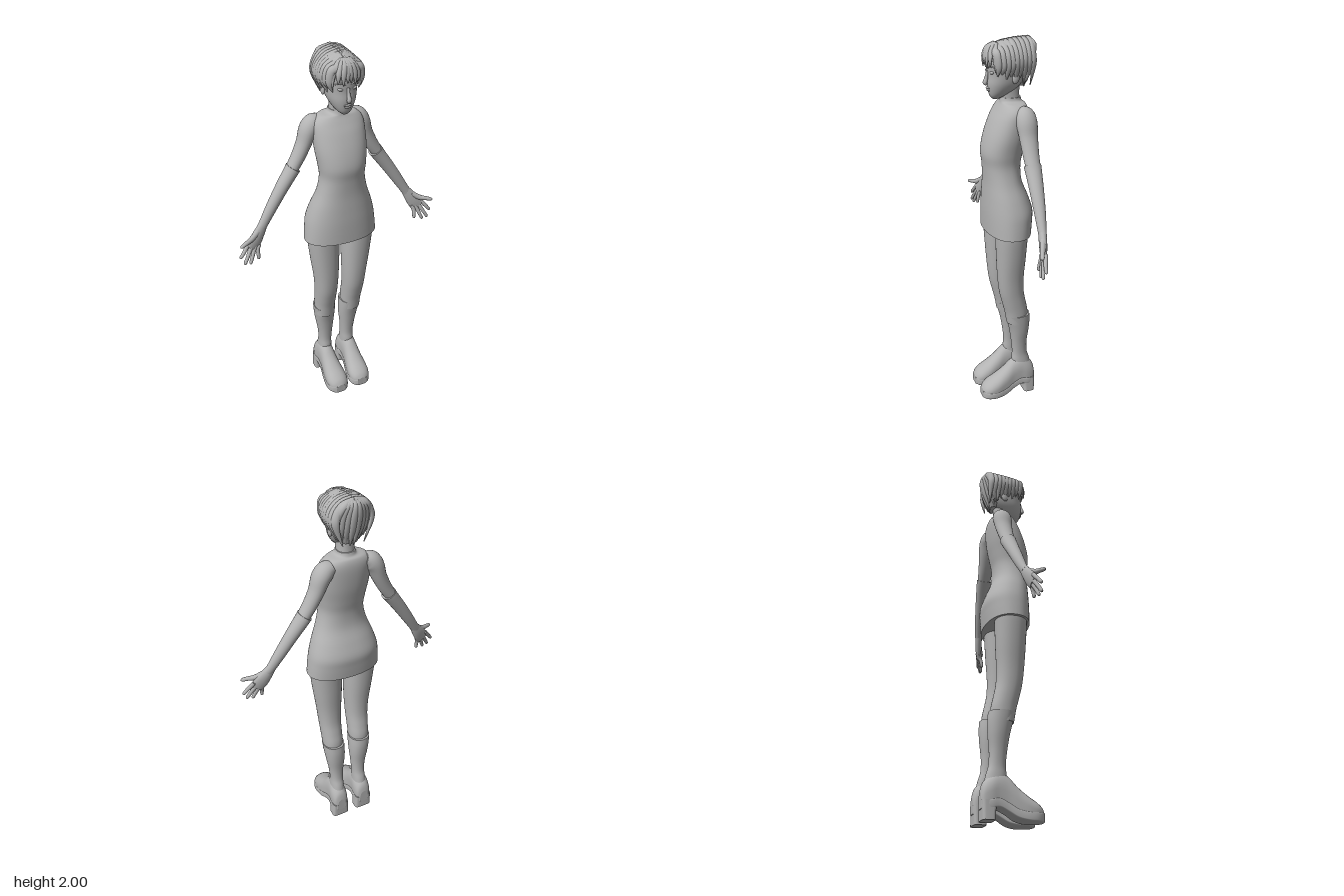
import * as THREE from 'three';

const grey = new THREE.MeshStandardMaterial({ color: 0xb3b3b3 });
grey.name = 'plain grey';
const V = (x, y, z) => new THREE.Vector3(x, y, z);
const spow = (v, e) => Math.sign(v) * Math.pow(Math.abs(v), e);

// Catmull-Rom resampling of a table of number rows
function smooth(rows, steps) {
  const out = [], last = rows.length - 1;
  for (let k = 0; k <= last * steps; k++) {
    const i = Math.min(Math.floor(k / steps), last - 1), t = k / steps - i;
    const [a, b, c, d] = [i - 1, i, i + 1, i + 2].map(j => rows[Math.min(Math.max(j, 0), last)]);
    out.push(b.map((v, q) => v + 0.5 * t * (c[q] - a[q] + t * (2 * a[q] - 5 * v + 4 * c[q] - d[q]
      + t * (3 * (v - c[q]) + d[q] - a[q])))));
  }
  return out;
}

// Closed smooth skin over a list of point rings, always facing outward
function skin(rings) {
  const n = rings[0].length, pts = rings.flat(), idx = [];
  for (let i = 0; i < rings.length - 1; i++) for (let j = 0; j < n; j++) {
    const a = i * n + j, b = i * n + (j + 1) % n;
    idx.push(a, a + n, b, b, a + n, b + n);
  }
  for (const [r, end] of [[0, false], [rings.length - 1, true]]) {
    const base = pts.length, mid = V(0, 0, 0);
    rings[r].forEach(p => mid.addScaledVector(p, 1 / n));
    pts.push(...rings[r], mid);
    for (let j = 0; j < n; j++) {
      const a = base + j, b = base + (j + 1) % n;
      idx.push(base + n, end ? b : a, end ? a : b);
    }
  }
  let volume = 0;
  const c = rings[0][0], s = (i) => pts[idx[i]].clone().sub(c);
  for (let i = 0; i < idx.length; i += 3) volume += s(i).dot(s(i + 1).cross(s(i + 2)));
  if (volume < 0) idx.reverse();
  const g = new THREE.BufferGeometry().setFromPoints(pts);
  g.setIndex(idx);
  g.computeVertexNormals();
  return g;
}

// Level rings; rows are [y, centre x, half width, front z, back z]
function stack(rows, side = 1, power = 2.2, n = 32, steps = 5) {
  return skin(smooth(rows, steps).map(([y, cx, w, f, b]) => Array.from({ length: n }, (_, j) => {
    const a = j / n * Math.PI * 2;
    return V(side * (cx + w * spow(Math.cos(a), 2 / power)), y,
      (f + b) / 2 + (f - b) / 2 * spow(Math.sin(a), 2 / power));
  })));
}

// Rings square to a path; rows are [x, y, z, half width, half thickness]
function limb(rows, side = 1, depthAt = () => V(0, 0, 1), n = 16, steps = 4) {
  const r = smooth(rows, steps), P = r.map(q => V(q[0], q[1], q[2]));
  return skin(r.map((q, i) => {
    const T = P[Math.min(i + 1, P.length - 1)].clone().sub(P[Math.max(i - 1, 0)]).normalize();
    const D = depthAt(P[i]);
    D.addScaledVector(T, -D.dot(T)).normalize();
    const S = T.clone().cross(D);
    return Array.from({ length: n }, (_, j) => {
      const a = j / n * Math.PI * 2;
      const p = P[i].clone().addScaledVector(S, q[3] * Math.cos(a)).addScaledVector(D, q[4] * Math.sin(a));
      p.x *= side;
      return p;
    });
  }));
}

export function createModel() {
  const model = new THREE.Group();
  const add = (name, geometry, parent = model) => {
    const m = new THREE.Mesh(geometry, grey);
    m.name = name;
    parent.add(m);
    return m;
  };
  const ball = (name, x, y, z, sx, sy, sz, parent) => {
    const m = add(name, new THREE.SphereGeometry(1, 20, 14), parent);
    m.position.set(x, y, z);
    m.scale.set(sx, sy, sz);
    return m;
  };

  // Sleeveless dress with a collar
  add('dress', stack([
    [1.012, 0, 0.199, 0.112, -0.12], [1.08, 0, 0.193, 0.113, -0.127], [1.14, 0, 0.184, 0.113, -0.13],
    [1.21, 0, 0.163, 0.111, -0.108], [1.29, 0, 0.133, 0.109, -0.078], [1.37, 0, 0.116, 0.113, -0.073],
    [1.44, 0, 0.122, 0.12, -0.085], [1.52, 0, 0.132, 0.103, -0.1], [1.6, 0, 0.134, 0.072, -0.108],
    [1.65, 0, 0.128, 0.045, -0.108], [1.68, 0, 0.1, 0.028, -0.1], [1.692, 0, 0.055, 0.024, -0.086],
    [1.71, 0, 0.046, 0.02, -0.08]], 1, 2.25, 48));

  // Neck and head
  add('neck', stack([[1.66, 0, 0.045, 0.015, -0.08], [1.72, 0, 0.042, 0.022, -0.074],
    [1.8, 0, 0.045, 0.035, -0.075]]));
  const head = new THREE.Group();
  head.name = 'head';
  model.add(head);
  add('face', stack([
    [1.706, 0, 0.014, 0.062, 0.03], [1.72, 0, 0.032, 0.075, 0.0], [1.745, 0, 0.051, 0.083, -0.045],
    [1.78, 0, 0.067, 0.088, -0.085], [1.82, 0, 0.076, 0.087, -0.11], [1.86, 0, 0.081, 0.09, -0.12],
    [1.9, 0, 0.083, 0.09, -0.12], [1.94, 0, 0.074, 0.074, -0.11], [1.97, 0, 0.045, 0.04, -0.09]], 1, 2.3), head);
  add('nose', limb([[0, 1.845, 0.086, 0.007, 0.006], [0, 1.81, 0.093, 0.008, 0.009],
    [0, 1.787, 0.1, 0.013, 0.011], [0, 1.777, 0.092, 0.009, 0.006]]), head);
  ball('upperLip', 0, 1.76, 0.086, 0.021, 0.005, 0.008, head);
  ball('lowerLip', 0, 1.75, 0.084, 0.017, 0.006, 0.008, head);
  for (const s of [1, -1]) {
    ball('eye', s * 0.034, 1.838, 0.077, 0.016, 0.008, 0.009, head).rotation.z = s * 0.12;
    add('eyebrow', limb([[0.014, 1.858, 0.089, 0.002, 0.003], [0.036, 1.868, 0.085, 0.004, 0.004],
      [0.058, 1.862, 0.068, 0.002, 0.003]], s), head);
    ball('ear', s * 0.077, 1.815, -0.03, 0.01, 0.03, 0.018, head).rotation.x = -0.2;
  }

  // Hair: an inner cap covered by overlapping locks
  const hair = new THREE.Group();
  hair.name = 'hair';
  model.add(hair);
  add('hairCap', stack([
    [1.765, 0, 0.035, -0.055, -0.098], [1.83, 0, 0.08, 0.0, -0.122], [1.88, 0, 0.095, 0.06, -0.135],
    [1.93, 0, 0.092, 0.085, -0.142], [1.965, 0, 0.07, 0.06, -0.138], [1.983, 0, 0.035, 0.02, -0.11]]), hair);
  const outward = p => p.clone().sub(V(0, 1.87, -0.03));
  const lock = (name, rows, s) => add(name, limb(rows, s, outward, 12), hair);
  for (const s of [1, -1]) {
    // Side locks fall from the centre crest
    for (let i = 0; i < 9; i++) {
      const t = i / 8, z = 0.07 - 0.19 * t;
      const top = 1.985 - 0.03 * Math.pow(1 - t, 3), w = 0.086 + 0.05 * t * (1.15 - t);
      const tipY = 1.825 - 0.055 * t + (i % 2) * 0.015;
      lock('sideLock', [
        [-0.008, top, z, 0.014, 0.012], [0.05, top - 0.016, z * 0.98, 0.019, 0.013],
        [w - 0.01, 1.925, z * 0.94, 0.02, 0.013], [w - 0.004, 1.87, z * 0.92 - 0.004, 0.018, 0.011],
        [w - 0.02 * (1 + t), tipY, z * 0.9 - 0.004, 0.003, 0.002]], s);
    }
    // Fringe over the forehead
    [[0.008, 1.872, 0.1], [0.03, 1.86, 0.099], [0.052, 1.868, 0.09], [0.073, 1.845, 0.072]].forEach(([x, y, z]) =>
      lock('fringeLock', [[x * 0.25, 1.968, 0.05, 0.011, 0.01], [x * 0.6, 1.95, z * 0.86, 0.014, 0.01],
        [x * 0.95, 1.91, z, 0.013, 0.008], [x, y, z, 0.002, 0.002]], s));
    // Back locks down to the nape
    [0.012, 0.036, 0.058, 0.078].forEach((x, i) =>
      lock('backLock', [[x * 0.2, 1.982, -0.115, 0.013, 0.012], [x * 0.7, 1.965, -0.142 + x * 0.2, 0.016, 0.012],
        [x, 1.915, -0.147 + x * 0.45, 0.018, 0.012], [x, 1.84, -0.13 + x * 0.45, 0.015, 0.011],
        [x * 0.75, 1.755 + i * 0.009, -0.1 + x * 0.3, 0.003, 0.002]], s));
  }

  for (const s of [1, -1]) {
    // Arm with long glove
    const arm = new THREE.Group();
    arm.name = s > 0 ? 'leftArm' : 'rightArm';
    model.add(arm);
    add('upperArm', limb([[0.085, 1.652, -0.062, 0.03, 0.035], [0.115, 1.638, -0.062, 0.046, 0.048],
      [0.142, 1.605, -0.062, 0.046, 0.052], [0.167, 1.54, -0.062, 0.038, 0.046],
      [0.205, 1.465, -0.06, 0.034, 0.04], [0.25, 1.395, -0.058, 0.03, 0.036]], s, undefined, 24), arm);
    add('glove', limb([[0.229, 1.421, -0.058, 0.038, 0.043], [0.247, 1.395, -0.057, 0.036, 0.041],
      [0.3, 1.32, -0.052, 0.033, 0.035], [0.36, 1.23, -0.045, 0.029, 0.028],
      [0.405, 1.16, -0.038, 0.025, 0.021], [0.425, 1.13, -0.034, 0.026, 0.018]], s, undefined, 24), arm);
    // Hand with the palm forward
    const palmDepth = () => V(-0.25, 0.1, 1);
    add('palm', limb([[0.408, 1.155, -0.037, 0.023, 0.018], [0.437, 1.112, -0.03, 0.032, 0.019],
      [0.464, 1.073, -0.022, 0.038, 0.016], [0.487, 1.04, -0.015, 0.034, 0.01]], s, palmDepth), arm);
    [[0.512, 1.058, 0.556, 1.006, 0.001], [0.493, 1.043, 0.538, 0.968, 0.008],
      [0.475, 1.033, 0.507, 0.962, 0.006], [0.457, 1.03, 0.458, 0.974, -0.002]].forEach(([x, y, tx, ty, tz]) =>
      add('finger', limb([[x - 0.014, y + 0.02, -0.02, 0.01, 0.01], [x, y, -0.013, 0.011, 0.0105],
        [(x + tx) / 2, (y + ty) / 2, (tz - 0.009) / 2, 0.0095, 0.0095],
        [x + (tx - x) * 0.9, y + (ty - y) * 0.9, tz - 0.001, 0.008, 0.008],
        [tx, ty, tz, 0.002, 0.002]], s), arm));
    add('thumb', limb([[0.445, 1.125, -0.025, 0.014, 0.014], [0.485, 1.1, -0.008, 0.014, 0.013],
      [0.52, 1.092, 0.008, 0.011, 0.011], [0.545, 1.086, 0.018, 0.009, 0.009],
      [0.555, 1.083, 0.021, 0.002, 0.002]], s), arm);

    // Leg
    const leg = new THREE.Group();
    leg.name = s > 0 ? 'leftLeg' : 'rightLeg';
    model.add(leg);
    add('thighAndKnee', stack([[0.47, 0.081, 0.053, 0.015, -0.1], [0.54, 0.081, 0.056, 0.027, -0.1],
      [0.6, 0.082, 0.058, 0.042, -0.088], [0.67, 0.083, 0.061, 0.058, -0.075], [0.76, 0.085, 0.067, 0.068, -0.073],
      [0.88, 0.091, 0.077, 0.075, -0.08], [1.0, 0.097, 0.084, 0.08, -0.086], [1.06, 0.098, 0.084, 0.08, -0.09]], s), leg);
    // Knee-high boot on a platform sole
    add('bootShaft', stack([[0.14, 0.073, 0.04, -0.02, -0.135], [0.21, 0.071, 0.037, -0.018, -0.12],
      [0.26, 0.07, 0.036, -0.022, -0.106], [0.33, 0.071, 0.042, -0.016, -0.104], [0.41, 0.074, 0.053, -0.004, -0.112],
      [0.47, 0.077, 0.058, 0.01, -0.115], [0.52, 0.08, 0.06, 0.022, -0.112]], s), leg);
    const foot = smooth([
      [-0.147, 0.05, 0.13, 0.024], [-0.135, 0.045, 0.175, 0.041], [-0.1, 0.05, 0.21, 0.048],
      [-0.06, 0.055, 0.23, 0.045], [-0.015, 0.035, 0.21, 0.045], [0.03, 0.01, 0.165, 0.052],
      [0.08, 0, 0.125, 0.06], [0.12, 0, 0.1, 0.059], [0.148, 0, 0.078, 0.046], [0.163, 0.002, 0.055, 0.026]], 4);
    // Foot section narrows toward the top and stays flat below
    const section = ([z, lo, hi, w], floor = false) => Array.from({ length: 28 }, (_, j) => {
      const a = j / 28 * Math.PI * 2, v = Math.sin(a);
      const top = floor ? Math.min(hi, lo + 0.046) : hi;
      const q = floor ? 6 : v > 0 ? 2.1 : 4;
      return V(s * (0.074 - 0.03 * Math.max(z, 0) + (w + (floor ? 0.002 : 0)) * spow(Math.cos(a), 2 / q)),
        (lo + top) / 2 + (top - lo) / 2 * spow(v, 2 / q), z);
    });
    add('bootFoot', skin(foot.map(r => section(r))), leg);
    add('platformSole', skin(foot.map(r => section(r, true))), leg);
    add('heel', stack([[0, 0.074, 0.05, -0.08, -0.143], [0.002, 0.074, 0.05, -0.08, -0.143],
      [0.04, 0.074, 0.049, -0.078, -0.144], [0.09, 0.074, 0.048, -0.068, -0.146]], s, 5), leg);
  }
  return model;
}
